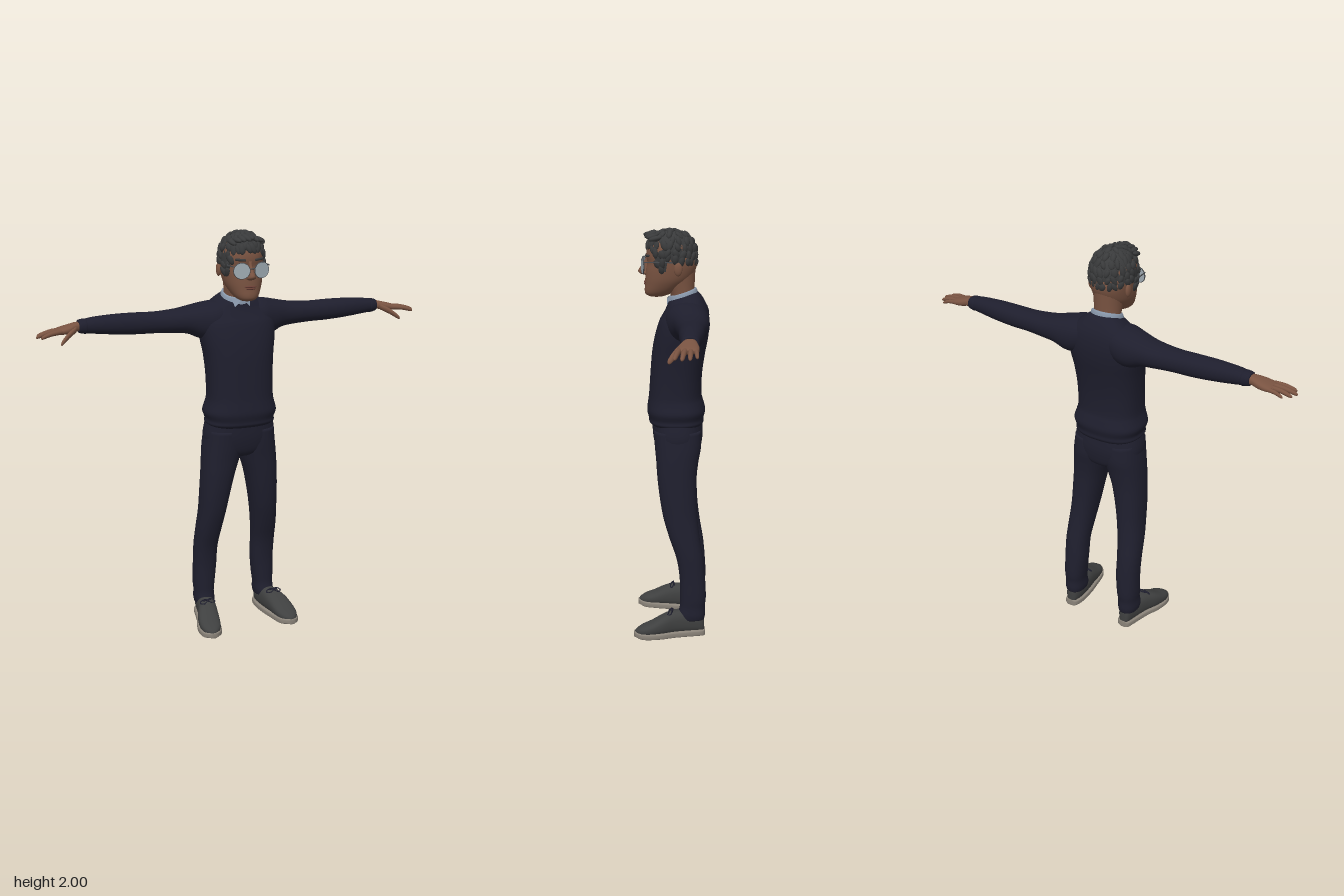
import * as THREE from 'three';
import { mergeGeometries } from 'three/addons/utils/BufferGeometryUtils.js';

const paint = (name, color, side = THREE.FrontSide) => {
  const m = new THREE.MeshStandardMaterial({ color, side });
  m.name = name;
  return m;
};

// Smooth loft through rows [t, aLow, aHigh, bLow, bHigh]; (axis, a, b) cycle through x, y, z.
function loft(axis, rows, n = 2.3, seg = 28, sub = 4) {
  const ax = 'xyz'.indexOf(axis), pos = [], idx = [], rings = [];
  const cr = (p, q, r, s, t) => 0.5 * (2 * q + (r - p) * t + (2 * p - 5 * q + 4 * r - s) * t * t + (3 * q - p - 3 * r + s) * t * t * t);
  const last = rows.length - 1;
  for (let i = 0; i < last; i++) {
    for (let k = 0; k < sub; k++) {
      const p = rows[Math.max(i - 1, 0)], s = rows[Math.min(i + 2, last)];
      rings.push(rows[i].map((v, c) => cr(p[c], v, rows[i + 1][c], s[c], k / sub)));
    }
  }
  rings.push(rows[last]);
  const put = (t, a, b) => {
    const v = [0, 0, 0];
    v[ax] = t; v[(ax + 1) % 3] = a; v[(ax + 2) % 3] = b;
    pos.push(...v);
  };
  const se = (v) => Math.sign(v) * Math.pow(Math.abs(v), 2 / n);
  for (const [t, a0, a1, b0, b1] of rings) {
    for (let j = 0; j < seg; j++) {
      const w = (j / seg) * Math.PI * 2;
      put(t, (a0 + a1) / 2 + se(Math.cos(w)) * (a1 - a0) / 2, (b0 + b1) / 2 + se(Math.sin(w)) * (b1 - b0) / 2);
    }
  }
  for (let i = 0; i < rings.length - 1; i++) {
    for (let j = 0; j < seg; j++) {
      const k = (j + 1) % seg, a = i * seg, b = a + seg;
      idx.push(a + j, a + k, b + k, a + j, b + k, b + j);
    }
  }
  // end caps
  const m = rings.length, top = (m - 1) * seg;
  for (const r of [rings[0], rings[m - 1]]) put(r[0], (r[1] + r[2]) / 2, (r[3] + r[4]) / 2);
  for (let j = 0; j < seg; j++) {
    const k = (j + 1) % seg;
    idx.push(m * seg, k, j, m * seg + 1, top + j, top + k);
  }
  const g = new THREE.BufferGeometry();
  g.setAttribute('position', new THREE.Float32BufferAttribute(pos, 3));
  g.setIndex(idx);
  g.computeVertexNormals();
  return g;
}

// Moves every vertex by a rule.
function warp(g, rule) {
  const p = g.attributes.position, v = new THREE.Vector3();
  for (let i = 0; i < p.count; i++) {
    rule(v.fromBufferAttribute(p, i));
    p.setXYZ(i, v.x, v.y, v.z);
  }
  g.computeVertexNormals();
  return g;
}

function mirrored(geo) {
  const g = warp(geo.clone(), (v) => { v.x *= -1; });
  g.setIndex(Array.from(g.index.array).reverse());
  g.computeVertexNormals();
  return g;
}

const sym = (rows) => rows.map(([y, z0, z1, r]) => [y, z0, z1, -r, r]);
const ball = (x, y, z, sx, sy, sz) => new THREE.SphereGeometry(1, 16, 12).scale(sx, sy, sz).translate(x, y, z);
const clamp = THREE.MathUtils.clamp;

export function createModel() {
  const model = new THREE.Group();
  const skin = paint('skin', 0x795341), lip = paint('lips', 0x6a3f36);
  const hair = paint('hair', 0x393a3b, THREE.DoubleSide);
  const knit = paint('navy knit', 0x1e1e2d), cloth = paint('navy trousers', 0x1f1f2e);
  const shirt = paint('pale blue shirt', 0x8796a9, THREE.DoubleSide);
  const glass = paint('lens', 0x9fabb3), wire = paint('glasses wire', 0x4a4c50);
  const canvas = paint('shoe grey', 0x3f4040), rubber = paint('sole', 0x8a8379);
  const add = (name, geo, mat) => {
    const mesh = new THREE.Mesh(geo, mat);
    mesh.name = name;
    model.add(mesh);
  };
  const pair = (name, geo, mat) => {
    add('left ' + name, geo, mat);
    add('right ' + name, mirrored(geo), mat);
  };

  // Sweater body, its neckline tilted down to the front
  const tilt = (v) => { v.y += 0.32 * clamp((v.y - 1.56) / 0.12, 0, 1) * (-0.05 - v.z); };
  add('sweater body', warp(loft('y', sym([
    [1.05, -0.145, 0.095, 0.16], [1.065, -0.155, 0.112, 0.172], [1.085, -0.155, 0.114, 0.17], [1.12, -0.162, 0.122, 0.181],
    [1.16, -0.152, 0.118, 0.17], [1.2, -0.143, 0.113, 0.163], [1.3, -0.146, 0.106, 0.164], [1.4, -0.16, 0.098, 0.172],
    [1.48, -0.175, 0.084, 0.185], [1.55, -0.18, 0.064, 0.19], [1.6, -0.172, 0.042, 0.174], [1.64, -0.15, 0.026, 0.128],
    [1.668, -0.128, 0.018, 0.088], [1.676, -0.115, 0.008, 0.076]]), 2.5, 40), tilt), knit);

  // Sleeves and cuffs
  pair('sleeve', loft('x', [
    [0.05, 1.51, 1.655, -0.16, 0.02], [0.12, 1.475, 1.656, -0.178, 0.03], [0.18, 1.475, 1.647, -0.18, 0.012],
    [0.24, 1.5, 1.634, -0.176, -0.01], [0.3, 1.508, 1.623, -0.17, -0.022], [0.4, 1.514, 1.616, -0.158, -0.036],
    [0.5, 1.516, 1.618, -0.155, -0.04], [0.6, 1.523, 1.618, -0.149, -0.043], [0.7, 1.534, 1.613, -0.138, -0.05],
    [0.745, 1.54, 1.606, -0.131, -0.054]], 2.2), knit);
  pair('cuff', loft('x', [
    [0.735, 1.541, 1.604, -0.131, -0.056], [0.745, 1.537, 1.608, -0.134, -0.052],
    [0.772, 1.543, 1.604, -0.13, -0.056], [0.777, 1.549, 1.599, -0.123, -0.063]], 2.2), knit);

  // Hands: palm, four fingers and a lowered thumb
  const digit = ([x0, y0, z0], [x1, y1, z1], r) => loft('x', [0, 0.06, 0.5, 0.85, 0.96, 1].map((t, i) => {
    const s = r * [0.6, 1, 0.98, 0.82, 0.55, 0.1][i];
    const x = x0 + (x1 - x0) * t, z = z0 + (z1 - z0) * t, y = y0 + (y1 - y0) * t + 0.006 * Math.sin(t * Math.PI);
    return [x, y - s, y + s, z - s, z + s];
  }), 2, 12, 2);
  pair('palm', loft('x', [
    [0.755, 1.553, 1.596, -0.12, -0.066], [0.79, 1.552, 1.594, -0.123, -0.058], [0.82, 1.546, 1.587, -0.13, -0.044],
    [0.85, 1.544, 1.58, -0.132, -0.04], [0.875, 1.545, 1.573, -0.129, -0.04], [0.888, 1.552, 1.565, -0.12, -0.05]], 2.5), skin);
  pair('index finger', digit([0.86, 1.561, -0.05], [0.965, 1.541, -0.03], 0.0115), skin);
  pair('middle finger', digit([0.865, 1.562, -0.073], [0.982, 1.541, -0.061], 0.0115), skin);
  pair('ring finger', digit([0.865, 1.561, -0.096], [0.972, 1.541, -0.094], 0.011), skin);
  pair('little finger', digit([0.86, 1.559, -0.118], [0.94, 1.542, -0.123], 0.0095), skin);
  pair('thumb', digit([0.79, 1.568, -0.065], [0.88, 1.51, -0.005], 0.0145), skin);

  // Trousers
  add('trouser hips', loft('y', sym([
    [0.895, -0.115, 0.05, 0.05], [0.91, -0.132, 0.068, 0.12], [0.94, -0.143, 0.082, 0.165],
    [1.0, -0.151, 0.094, 0.18], [1.07, -0.146, 0.098, 0.168]]), 2.4, 36), cloth);
  pair('trouser leg', loft('y', [
    [0.085, -0.164, -0.034, 0.118, 0.212], [0.11, -0.168, -0.032, 0.114, 0.216], [0.15, -0.166, -0.042, 0.115, 0.214],
    [0.2, -0.171, -0.043, 0.109, 0.217], [0.3, -0.166, -0.04, 0.1, 0.216], [0.4, -0.156, -0.024, 0.098, 0.216],
    [0.5, -0.139, 0.01, 0.087, 0.212], [0.6, -0.127, 0.04, 0.072, 0.204], [0.7, -0.122, 0.058, 0.054, 0.2],
    [0.8, -0.122, 0.07, 0.032, 0.195], [0.88, -0.131, 0.076, 0.007, 0.19], [0.95, -0.143, 0.083, -0.01, 0.183],
    [1.03, -0.14, 0.088, 0, 0.172]]), cloth);

  // Shoes, toes turned slightly out
  const plan = [[-0.168, 0.15, 0.185], [-0.155, 0.13, 0.2], [-0.1, 0.12, 0.213], [-0.02, 0.125, 0.232], [0.04, 0.135, 0.254],
    [0.1, 0.146, 0.265], [0.145, 0.16, 0.26], [0.172, 0.182, 0.243], [0.184, 0.2, 0.225]];
  const tops = [0.08, 0.115, 0.128, 0.13, 0.112, 0.08, 0.062, 0.047, 0.036];
  pair('shoe sole', loft('z', plan.map(([z, a, b], i) => [z, a, b, i > 6 ? 0.006 : 0, 0.033]), 5), rubber);
  pair('shoe upper', loft('z', plan.map(([z, a, b], i) => [z * 0.975, a + 0.005, b - 0.005, 0.014, tops[i]]), 2.5), canvas);
  for (let i = 0; i < 4; i++) {
    const bar = new THREE.CapsuleGeometry(0.004, 0.042, 3, 8).rotateZ(Math.PI / 2).rotateY(-0.12);
    pair('lace ' + (i + 1), bar.translate(0.183 + i * 0.004, 0.129 - i * 0.0125, -0.005 + i * 0.02), cloth);
  }
  for (const s of [-1, 1]) {
    const loop = new THREE.TorusGeometry(0.015, 0.003, 6, 16).scale(1.3, 0.7, 1).rotateX(-0.9).rotateZ(-s * 0.3);
    pair('lace bow ' + (s > 0 ? 'outer' : 'inner'), loop.translate(0.183 + s * 0.02, 0.128, 0.005), cloth);
  }

  // Neck and shirt collar
  add('neck', loft('y', sym([[1.62, -0.108, 0.0, 0.062], [1.68, -0.106, 0.008, 0.064], [1.74, -0.108, 0.03, 0.068],
    [1.82, -0.112, 0.04, 0.075]]), 2.1), skin);
  add('collar', warp(loft('y', sym([[1.635, -0.128, 0.022, 0.084], [1.665, -0.124, 0.02, 0.08], [1.69, -0.117, 0.016, 0.073],
    [1.694, -0.11, 0.01, 0.067]]), 2.2), tilt), shirt);
  const flap = new THREE.Shape([[0, 0], [0.05, 0.014], [0.03, -0.034]].map((p) => new THREE.Vector2(...p)));
  const flapGeo = new THREE.ShapeGeometry(flap).rotateX(-0.35).rotateY(0.4).translate(0.006, 1.664, 0.026);
  pair('collar point', flapGeo, shirt);

  // Head with ears, nose, lips and brows
  add('head', loft('y', sym([
    [1.672, 0.045, 0.105, 0.026], [1.682, 0.015, 0.126, 0.046], [1.7, -0.02, 0.132, 0.062], [1.73, -0.06, 0.13, 0.078],
    [1.76, -0.092, 0.129, 0.089], [1.8, -0.112, 0.126, 0.096], [1.835, -0.118, 0.119, 0.099], [1.87, -0.112, 0.124, 0.1],
    [1.91, -0.102, 0.116, 0.097], [1.95, -0.075, 0.085, 0.075], [1.972, -0.03, 0.04, 0.03]]), 2.2, 36), skin);
  pair('ear', ball(0.101, 1.81, -0.03, 0.011, 0.032, 0.02).rotateY(0), skin);
  add('nose', loft('y', sym([[1.774, 0.1, 0.13, 0.014], [1.782, 0.1, 0.155, 0.022], [1.795, 0.1, 0.163, 0.02],
    [1.815, 0.1, 0.151, 0.013], [1.84, 0.1, 0.134, 0.009], [1.86, 0.1, 0.125, 0.012]]), 2, 18), skin);
  add('upper lip', ball(0, 1.743, 0.126, 0.031, 0.005, 0.009), lip);
  add('lower lip', ball(0, 1.734, 0.126, 0.025, 0.006, 0.01), lip);
  pair('eyebrow', new THREE.CapsuleGeometry(0.006, 0.04, 4, 8).rotateZ(Math.PI / 2 + 0.08).rotateY(0.35).translate(0.047, 1.869, 0.117), hair);

  // Glasses
  const place = (g) => g.scale(0.039, 0.037, 1).rotateY(0.2).translate(0.05, 1.821, 0.139);
  pair('lens', place(new THREE.CylinderGeometry(1, 1, 0.004, 28).rotateX(Math.PI / 2)), glass);
  pair('lens rim', place(new THREE.TorusGeometry(1, 0.05, 6, 32).scale(1, 1, 0.06)), wire);
  pair('glasses arm', new THREE.BoxGeometry(0.003, 0.005, 0.16).rotateY(-0.1).translate(0.098, 1.842, 0.052), wire);
  add('glasses bridge', new THREE.CapsuleGeometry(0.0025, 0.02, 3, 8).rotateZ(Math.PI / 2).translate(0, 1.83, 0.146), wire);

  // Hair cap: high at the brow, low at the sideburns, cropped at the nape
  const hairline = (f) => {
    const keys = [[-1, 1.815], [-0.25, 1.835], [0.08, 1.85], [0.22, 1.785], [0.48, 1.79], [0.68, 1.875], [0.85, 1.905], [1.01, 1.91]];
    const i = keys.findIndex((k) => f < k[0]) || 1, [a, p] = keys[i - 1], [b, q] = keys[i];
    return p + (q - p) * (f - a) / (b - a);
  };
  const scalp = (phi, v, out = new THREE.Vector3()) => {
    const f = Math.cos(phi), th = v * Math.acos(clamp((hairline(clamp(f, -1, 1)) - 1.868) / 0.116, -1, 1));
    const r = Math.pow(Math.max(Math.sin(th), 0), th > Math.PI / 2 ? 0.3 : 0.85);
    return out.set(Math.sin(phi) * r * 0.104, 1.868 + Math.cos(th) * 0.116, 0.006 + f * r * 0.121);
  };
  const cap = new THREE.SphereGeometry(1, 48, 18);
  const uv = cap.attributes.uv;
  let n = 0;
  add('hair cap', warp(cap, (p) => { scalp(uv.getX(n) * Math.PI * 2, 1 - uv.getY(n), p); n++; }), hair);

  // Overlapping locks laid over the cap
  let seed = 7;
  const rnd = () => (seed = (seed * 16807) % 2147483647) / 2147483647;
  const locks = [], centre = new THREE.Vector3(0, 1.868, 0.006);
  [[0.12, 5], [0.3, 11], [0.47, 16], [0.64, 19], [0.79, 22], [0.92, 24]].forEach(([v, count], row) => {
    for (let i = 0; i < count; i++) {
      const phi = ((i + (row % 2) * 0.5 + rnd() * 0.35) / count) * Math.PI * 2;
      const p = scalp(phi, v), down = scalp(phi, v + 0.05).sub(p).normalize();
      const out = p.clone().sub(centre).normalize();
      const side = new THREE.Vector3().crossVectors(out, down).normalize();
      down.addScaledVector(side, (rnd() - 0.5) * 1.3).normalize();
      out.addScaledVector(down, -out.dot(down) + 0.15).normalize();
      side.crossVectors(out, down).normalize();
      down.crossVectors(side, out);
      const m = new THREE.Matrix4().makeBasis(side, out, down).setPosition(p);
      const g = new THREE.SphereGeometry(1, 10, 7);
      g.scale(0.012 + rnd() * 0.005, 0.008 + rnd() * 0.005, 0.021 + rnd() * 0.008);
      locks.push(g.applyMatrix4(m));
    }
  });
  // Swept fringe
  for (let i = 0; i < 8; i++) {
    const x = -0.075 + i * 0.021;
    const g = new THREE.SphereGeometry(1, 10, 8).scale(0.015, 0.012, 0.034);
    locks.push(g.rotateX(0.5 - rnd() * 0.5).rotateY((rnd() - 0.3) * 0.9).translate(x, 1.94 + 0.03 * Math.cos(x * 17), 0.105 - x * x * 5));
  }
  add('hair locks', mergeGeometries(locks), hair);
  return model;
}
